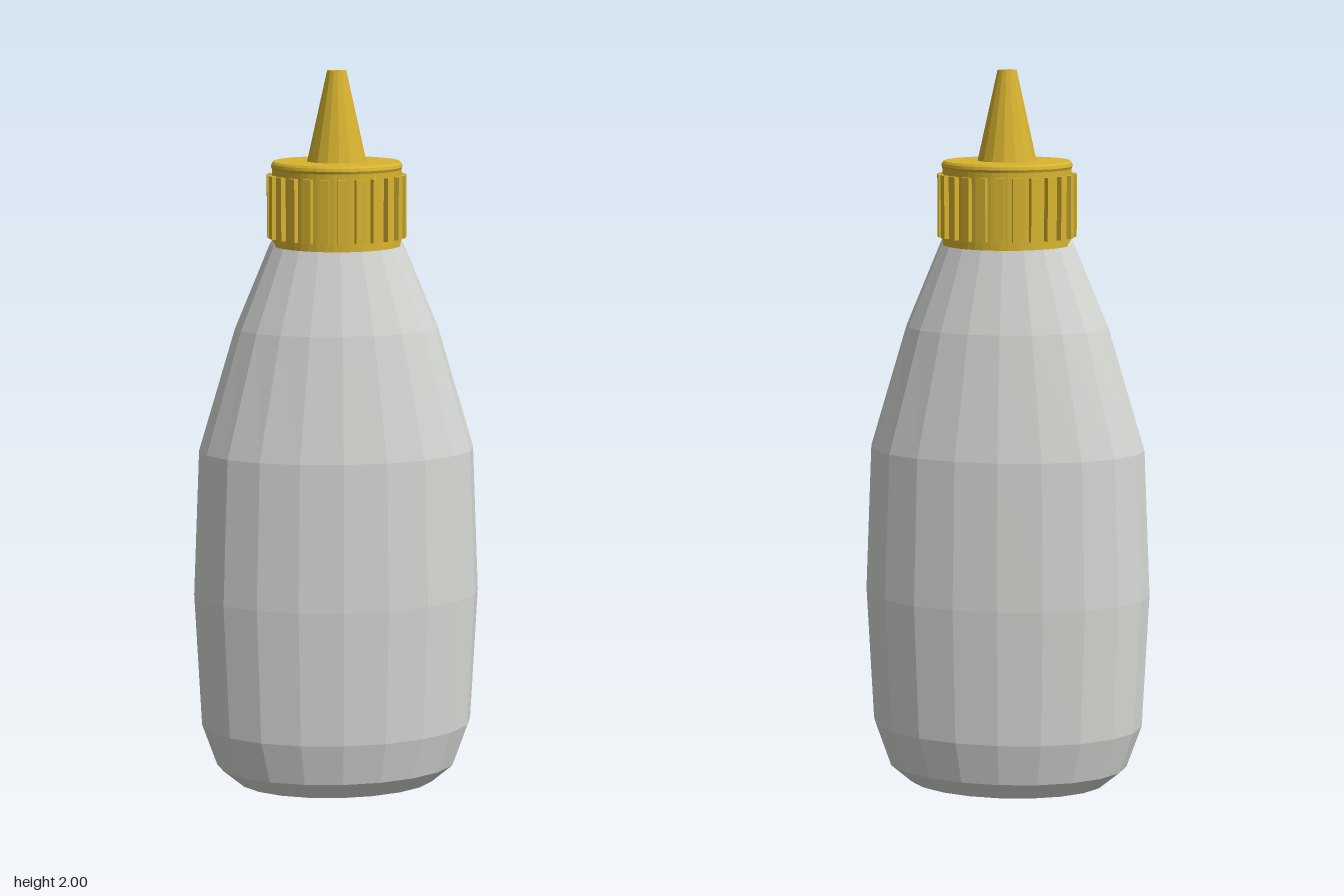
import * as THREE from 'three';

const bodyMat = new THREE.MeshStandardMaterial({ color: 0xd6d8d4, flatShading: true });
bodyMat.name = 'light grey plastic';
const capMat = new THREE.MeshStandardMaterial({ color: 0xd8b430, flatShading: true });
capMat.name = 'golden yellow plastic';

function lathe(name, profile, sides, material) {
  const points = profile.map(([r, y]) => new THREE.Vector2(r, y));
  const mesh = new THREE.Mesh(new THREE.LatheGeometry(points, sides), material);
  mesh.name = name;
  return mesh;
}

// Oval bottle: half width, height, half depth of each ring
function makeBottle() {
  const rings = [
    [0, 0.035, 0], [0.235, 0.03, 0.138], [0.25, 0, 0.15], [0.28, 0, 0.17],
    [0.34, 0.05, 0.205], [0.382, 0.17, 0.23], [0.4, 0.55, 0.24], [0.382, 0.96, 0.23],
    [0.28, 1.3, 0.178], [0.184, 1.53, 0.118], [0.168, 1.56, 0.11], [0, 1.56, 0],
  ];
  const bottle = lathe('bottle', rings, 20, bodyMat);
  const pos = bottle.geometry.attributes.position;
  for (let i = 0; i < pos.count; i++) {
    const [rx, , rz] = rings[i % rings.length];
    if (rx > 0) pos.setZ(i, pos.getZ(i) * rz / rx);
  }
  bottle.geometry.computeVertexNormals();
  return bottle;
}

// Screw cap with a ring of grip ribs
function makeCap() {
  const cap = new THREE.Group();
  cap.name = 'screwCap';
  cap.add(lathe('capShell', [
    [0, 1.54], [0.16, 1.54], [0.165, 1.528], [0.176, 1.528], [0.176, 1.735],
    [0.179, 1.742], [0.177, 1.75], [0.172, 1.756], [0, 1.756],
  ], 48, capMat));

  const ribGeometry = new THREE.BoxGeometry(0.025, 0.17, 0.022);
  const ribCount = 24;
  for (let i = 0; i < ribCount; i++) {
    const angle = (i / ribCount) * Math.PI * 2;
    const rib = new THREE.Mesh(ribGeometry, capMat);
    rib.name = 'gripRib';
    rib.position.set(Math.sin(angle) * 0.179, 1.635, Math.cos(angle) * 0.179);
    rib.rotation.y = angle;
    cap.add(rib);
  }
  return cap;
}

export function createModel() {
  const model = new THREE.Group();
  model.name = 'squeezeBottle';
  model.add(makeBottle(), makeCap());

  // Tapered nozzle with a small hole in its tip
  model.add(lathe('nozzle', [
    [0.082, 1.75], [0.026, 2], [0.012, 2], [0.012, 1.95], [0, 1.95],
  ], 16, capMat));
  return model;
}
